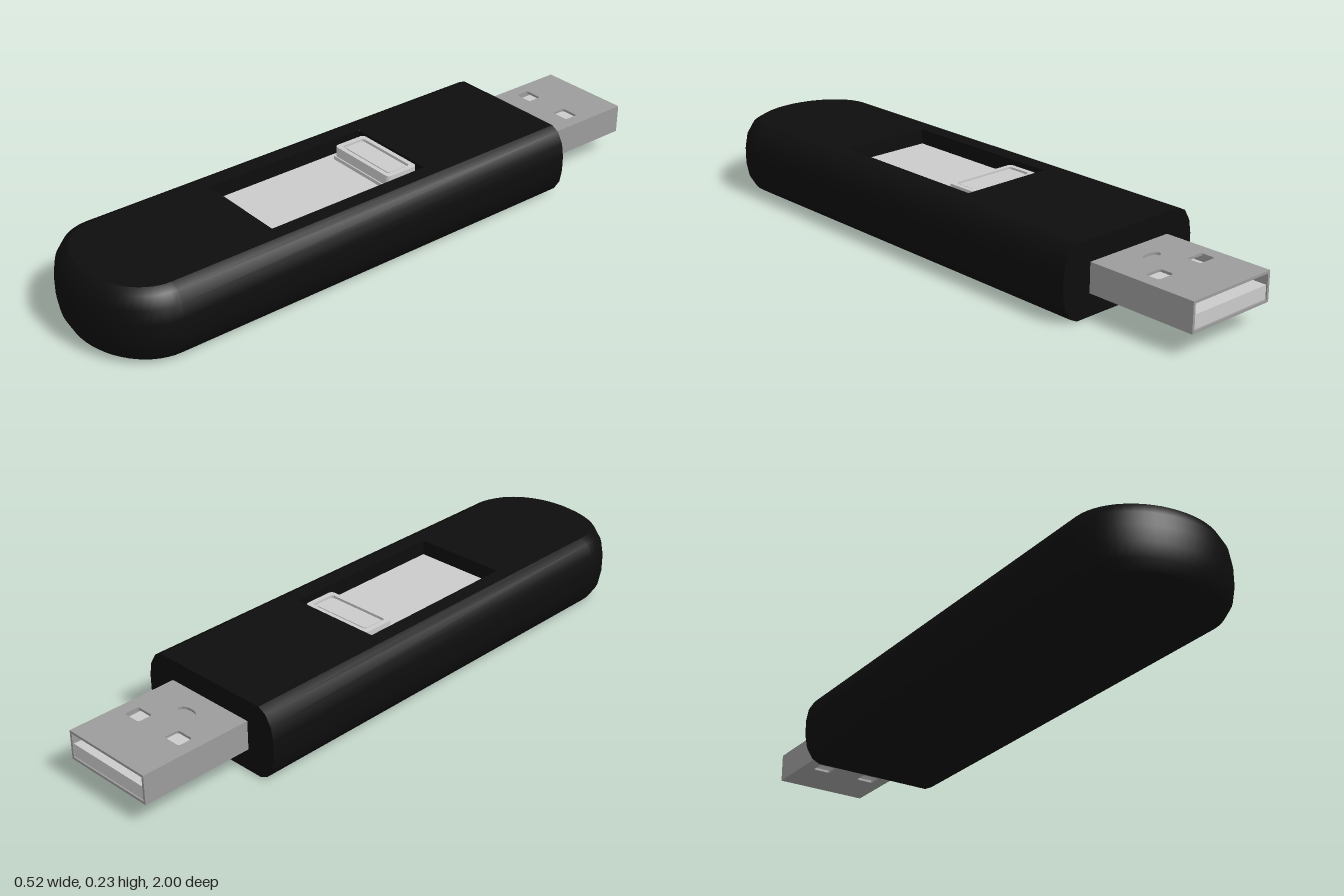
import * as THREE from 'three';

const mat = (name, color) => new THREE.MeshStandardMaterial({ name, color });

export function createModel() {
  const black = mat('black plastic', 0x0d0d0d);
  const steel = mat('grey metal', 0x9c9c9c);
  const light = mat('light grey', 0xcbcbcb);
  const model = new THREE.Group();

  const add = (parent, name, geo, material, x = 0, y = 0, z = 0) => {
    const m = new THREE.Mesh(geo, material);
    m.name = name;
    m.position.set(x, y, z);
    parent.add(m);
    return m;
  };
  const group = (name) => {
    const g = new THREE.Group();
    g.name = name;
    model.add(g);
    return g;
  };
  // Rounded rectangle, as a shape or a hole
  const roundRect = (w, h, r, cx = 0, cy = 0, Type = THREE.Shape) => {
    const p = new Type();
    const corners = [[1, 1, 0], [-1, 1, 1], [-1, -1, 2], [1, -1, 3]];
    for (const [sx, sy, q] of corners)
      p.absarc(cx + sx * (w / 2 - r), cy + sy * (h / 2 - r), r, q * Math.PI / 2, (q + 1) * Math.PI / 2, false);
    p.closePath();
    return p;
  };
  // Plan shape (x, -z) raised to a slab standing on y = 0
  const slab = (shape, depth) =>
    new THREE.ExtrudeGeometry(shape, { depth, bevelEnabled: false, curveSegments: 6 }).rotateX(-Math.PI / 2);

  // ---- Casing: stacked plan outlines with a rounded front end ----
  const casing = group('casing');
  const backZ = -0.635, arcZ = 0.8, steps = 28;
  const levels = [[0, 0.205], [0.013, 0.231], [0.047, 0.252], [0.09, 0.26],
    [0.14, 0.26], [0.183, 0.252], [0.217, 0.231], [0.23, 0.205]]; // height, half width
  const outline = (w) => {
    const reach = 0.2 - (0.26 - w) * 0.8;
    const pts = [[w, backZ]];
    for (let i = 0; i <= steps; i++) {
      const a = Math.PI * i / steps;
      pts.push([w * Math.cos(a), arcZ + reach * Math.sin(a)]);
    }
    pts.push([-w, backZ]);
    return pts;
  };
  const pos = [], index = [], n = steps + 3;
  levels.forEach(([y, w], i) => {
    outline(w).forEach(([x, z], j) => {
      pos.push(x, y, z);
      if (i < levels.length - 1 && j < n - 1) {
        const a = i * n + j, b = a + 1, c = a + n, d = c + 1;
        index.push(a, c, b, b, c, d);
      }
    });
  });
  const wall = new THREE.BufferGeometry();
  wall.setAttribute('position', new THREE.Float32BufferAttribute(pos, 3));
  wall.setIndex(index);
  wall.computeVertexNormals();
  add(casing, 'casingWall', wall, black);

  const cap = (sign) => new THREE.Shape(outline(0.205).map(([x, z]) => new THREE.Vector2(x, sign * z)));
  add(casing, 'casingBottom', new THREE.ShapeGeometry(cap(1)).rotateX(Math.PI / 2), black);
  const slotW = 0.31, slotL = 0.57, slotZ = 0.145, floorY = 0.18;
  const top = cap(-1);
  top.holes.push(new THREE.Path([[-1, -1], [1, -1], [1, 1], [-1, 1]].map(
    ([sx, sz]) => new THREE.Vector2(sx * slotW / 2, -slotZ + sz * slotL / 2))));
  add(casing, 'casingTop', new THREE.ShapeGeometry(top).rotateX(-Math.PI / 2), black, 0, 0.23);
  const section = new THREE.Shape([
    ...levels.map(([y, w]) => new THREE.Vector2(w, y)),
    ...levels.slice().reverse().map(([y, w]) => new THREE.Vector2(-w, y))]);
  add(casing, 'casingBack', new THREE.ShapeGeometry(section).rotateY(Math.PI), black, 0, 0, backZ);

  // Slot walls below the top opening
  const slotH = 0.229 - floorY, wallY = floorY + slotH / 2, t = 0.01;
  for (const s of [-1, 1]) {
    add(casing, 'slotSide', new THREE.BoxGeometry(t, slotH, slotL), black, s * (slotW + t) / 2, wallY, slotZ);
    add(casing, 'slotEnd', new THREE.BoxGeometry(slotW, slotH, t), black, 0, wallY, slotZ + s * (slotL + t) / 2);
  }

  // ---- Slider: recessed panel with a framed thumb tab ----
  const slider = group('slider');
  add(slider, 'sliderPanel', new THREE.BoxGeometry(slotW, 0.02, slotL), light, 0, floorY - 0.01, slotZ);
  const tabZ = -0.078;
  add(slider, 'tabFoot', slab(roundRect(0.275, 0.122, 0.015), 0.012), light, 0, floorY, tabZ);
  add(slider, 'tabBlock', slab(roundRect(0.256, 0.114, 0.014), 0.036), light, 0, floorY, tabZ);
  const rim = roundRect(0.256, 0.114, 0.014);
  rim.holes.push(roundRect(0.222, 0.084, 0.01, 0, 0, THREE.Path));
  add(slider, 'tabRim', slab(rim, 0.009), light, 0, floorY + 0.036, tabZ);
  add(slider, 'tabPad', slab(roundRect(0.208, 0.07, 0.01), 0.006), light, 0, floorY + 0.036, tabZ);

  // ---- Plug: metal sleeve with windows, open at the back ----
  const plug = group('plug');
  const plugW = 0.314, y0 = 0.07, y1 = 0.163, skin = 0.008;
  const plugL = 0.365, plugZ = -1 + plugL / 2;
  const plate = (withDimple) => {
    const s = new THREE.Shape([[-1, -1], [1, -1], [1, 1], [-1, 1]].map(
      ([sx, sz]) => new THREE.Vector2(sx * plugW / 2, -plugZ + sz * plugL / 2)));
    for (const sx of [-1, 1]) s.holes.push(roundRect(0.06, 0.048, 0.008, sx * 0.085, 0.82, THREE.Path));
    if (withDimple) s.holes.push(new THREE.Path().absellipse(0, 0.717, 0.033, 0.017, 0, Math.PI * 2));
    return slab(s, skin);
  };
  add(plug, 'sleeveTop', plate(true), steel, 0, y1 - skin);
  add(plug, 'sleeveBottom', plate(false), steel, 0, y0);
  for (const s of [-1, 1])
    add(plug, 'sleeveSide', new THREE.BoxGeometry(skin, y1 - y0 - 2 * skin, plugL), steel,
      s * (plugW - skin) / 2, (y0 + y1) / 2, plugZ);
  add(plug, 'dimpleFloor', new THREE.BoxGeometry(0.08, 0.006, 0.05), steel, 0, y1 - skin - 0.006, -0.717);
  add(plug, 'contactTongue', new THREE.BoxGeometry(plugW - 2 * skin, 0.042, plugL - 0.004), light,
    0, y0 + skin + 0.022, plugZ + 0.002);

  return model;
}
